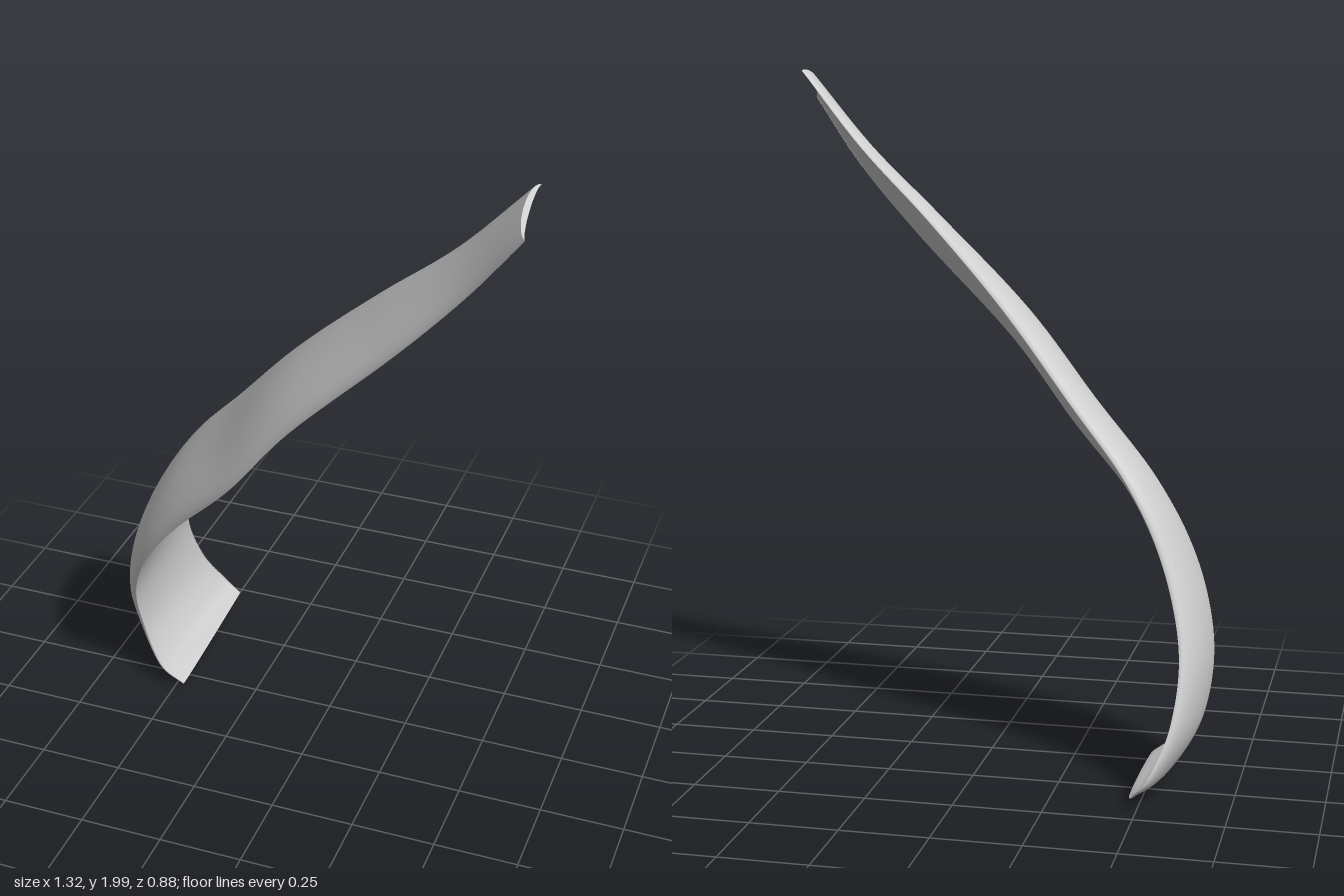
import * as THREE from 'three';

// Stations from the narrow top end to the flared foot:
// front edge xyz, back edge xyz, outer bulge, inner bulge (negative = hollow)
const STATIONS = [
  [0.66, 1.92, 0.44, 0.655, 2.0, 0.28, 0.03, -0.012],
  [0.50, 1.71, 0.385, 0.45, 1.77, 0.215, 0.045, -0.005],
  [0.30, 1.49, 0.36, 0.22, 1.56, 0.13, 0.06, 0.005],
  [0.00, 1.19, 0.335, -0.02, 1.32, 0.035, 0.075, 0.01],
  [-0.20, 0.94, 0.30, -0.24, 1.07, -0.075, 0.08, 0.01],
  [-0.40, 0.73, 0.24, -0.42, 0.86, -0.16, 0.08, 0.01],
  [-0.53, 0.55, 0.18, -0.53, 0.65, -0.21, 0.075, 0.008],
  [-0.60, 0.37, 0.11, -0.59, 0.42, -0.28, 0.065, 0.0],
  [-0.60, 0.20, 0.058, -0.58, 0.23, -0.36, 0.055, -0.008],
  [-0.545, 0.075, 0.068, -0.53, 0.10, -0.425, 0.04, -0.008],
  [-0.475, 0.015, 0.06, -0.48, 0.045, -0.435, 0.022, 0.006],
];
const ROWS = 90, RING = 40, HALF = RING / 2;

const spline = (pick) => new THREE.CatmullRomCurve3(
  STATIONS.map((s) => new THREE.Vector3(...pick(s))), false, 'catmullrom', 0.5);
const frontEdge = spline((s) => s.slice(0, 3));
const backEdge = spline((s) => s.slice(3, 6));
const bulge = spline((s) => [s[6], s[7], 0]);

// Closed lens or crescent section: outer face front to back, inner face back again
function section(t) {
  const f = frontEdge.getPoint(t), b = backEdge.getPoint(t), h = bulge.getPoint(t);
  const across = b.clone().sub(f);
  const along = frontEdge.getTangent(t).add(backEdge.getTangent(t));
  const out = across.clone().cross(along).normalize();
  return Array.from({ length: RING }, (_, j) => {
    const a = (j / RING) * Math.PI * 2;
    const height = Math.sin(a) * (j <= HALF ? h.x : h.y);
    return f.clone().addScaledVector(across, (1 - Math.cos(a)) / 2).addScaledVector(out, height);
  });
}

function toGeometry(points, index) {
  const geometry = new THREE.BufferGeometry().setFromPoints(points);
  geometry.setIndex(index);
  geometry.computeVertexNormals();
  return geometry;
}

// Long curved body lofted through the sections
function bodyGeometry() {
  const points = [], index = [];
  for (let i = 0; i <= ROWS; i++) {
    points.push(...section(i / ROWS));
    if (i === ROWS) break;
    for (let j = 0; j < RING; j++) {
      const k = (j + 1) % RING;
      const a = i * RING + j, b = i * RING + k;
      index.push(a, b, a + RING, b, b + RING, a + RING);
    }
  }
  return toGeometry(points, index);
}

// Flat end joining the outer and inner faces of one section
function capGeometry(t, flip) {
  const index = [];
  for (let j = 0; j < HALF; j++) {
    const a = j, b = j + 1, c = RING - j - 1, d = (RING - j) % RING;
    for (const [p, q, r] of [[a, b, c], [a, c, d]]) {
      if (p === q || q === r || p === r) continue;
      index.push(...(flip ? [p, r, q] : [p, q, r]));
    }
  }
  return toGeometry(section(t), index);
}

export function createModel() {
  const group = new THREE.Group();
  group.name = 'curvedStrap';
  const material = new THREE.MeshStandardMaterial({ color: 0xcccccc, side: THREE.DoubleSide });
  const add = (name, geometry) => {
    const mesh = new THREE.Mesh(geometry, material);
    mesh.name = name;
    group.add(mesh);
  };
  add('strapBody', bodyGeometry());
  add('topEnd', capGeometry(0, true));
  add('footEnd', capGeometry(1, false));
  return group;
}
